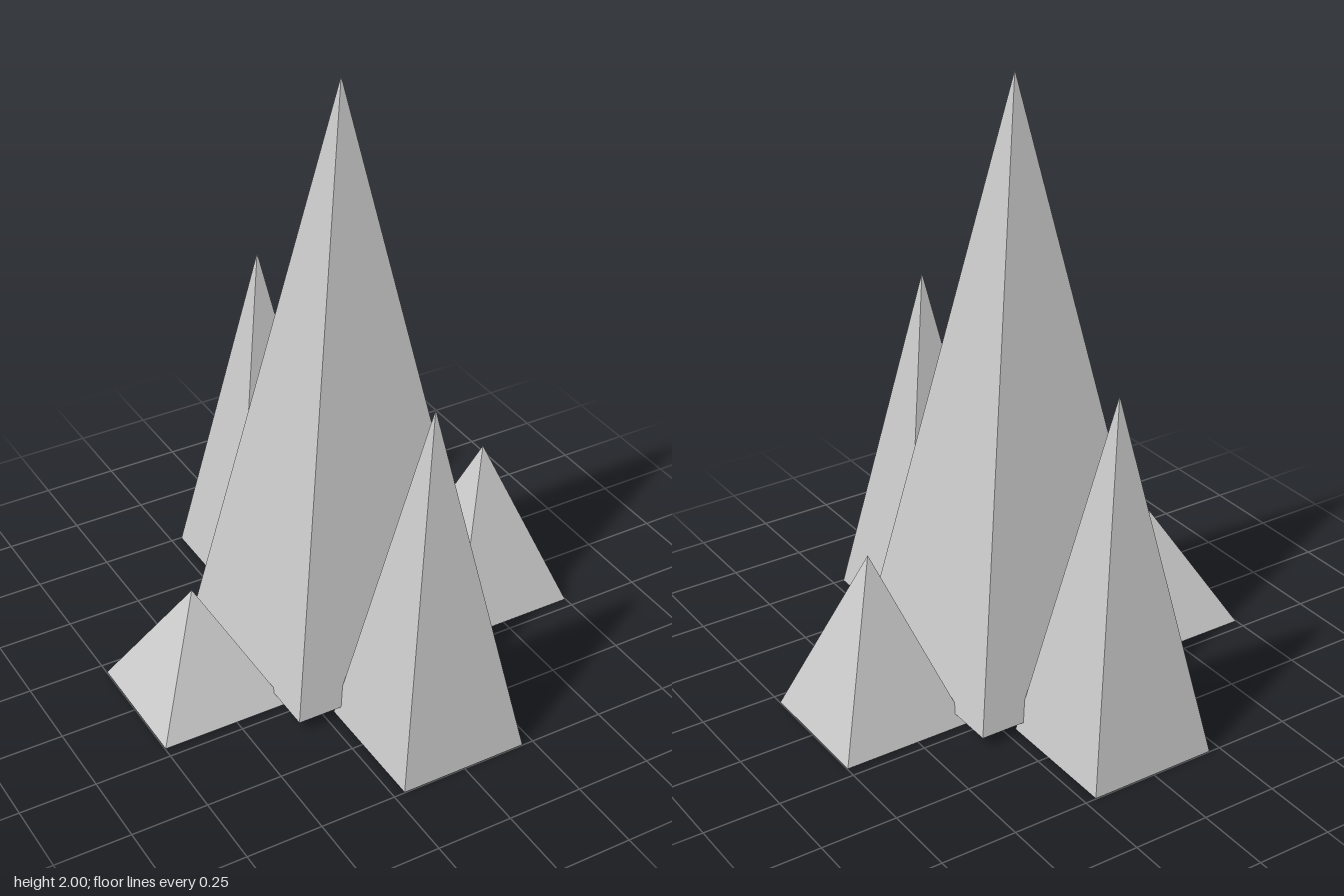
import * as THREE from 'three';

const material = new THREE.MeshStandardMaterial({ color: 0xcccccc, flatShading: true });

// Square pyramid with a closed base, its sides parallel to the axes
function pyramid(name, halfWidth, bottom, top, x, z) {
  const height = top - bottom;
  const geometry = new THREE.ConeGeometry(halfWidth * Math.SQRT2, height, 4);
  geometry.rotateY(Math.PI / 4);
  const mesh = new THREE.Mesh(geometry, material);
  mesh.name = name;
  mesh.position.set(x, bottom + height / 2, z);
  return mesh;
}

export function createModel() {
  const group = new THREE.Group();
  group.name = 'spikeCluster';

  // Tall central spike, raised slightly off the ground
  group.add(pyramid('centralSpike', 0.355, 0.04, 2, 0, 0));

  // Four outer spikes standing on the ground
  const half = 0.213, offset = 0.535;
  for (const [name, top, dx, dz] of [
    ['frontSpike', 1.18, 0, 1],
    ['backSpike', 1.18, 0, -1],
    ['leftSpike', 0.57, 1, 0],
    ['rightSpike', 0.39, -1, 0],
  ]) group.add(pyramid(name, half, 0, top, dx * offset, dz * offset));

  return group;
}
